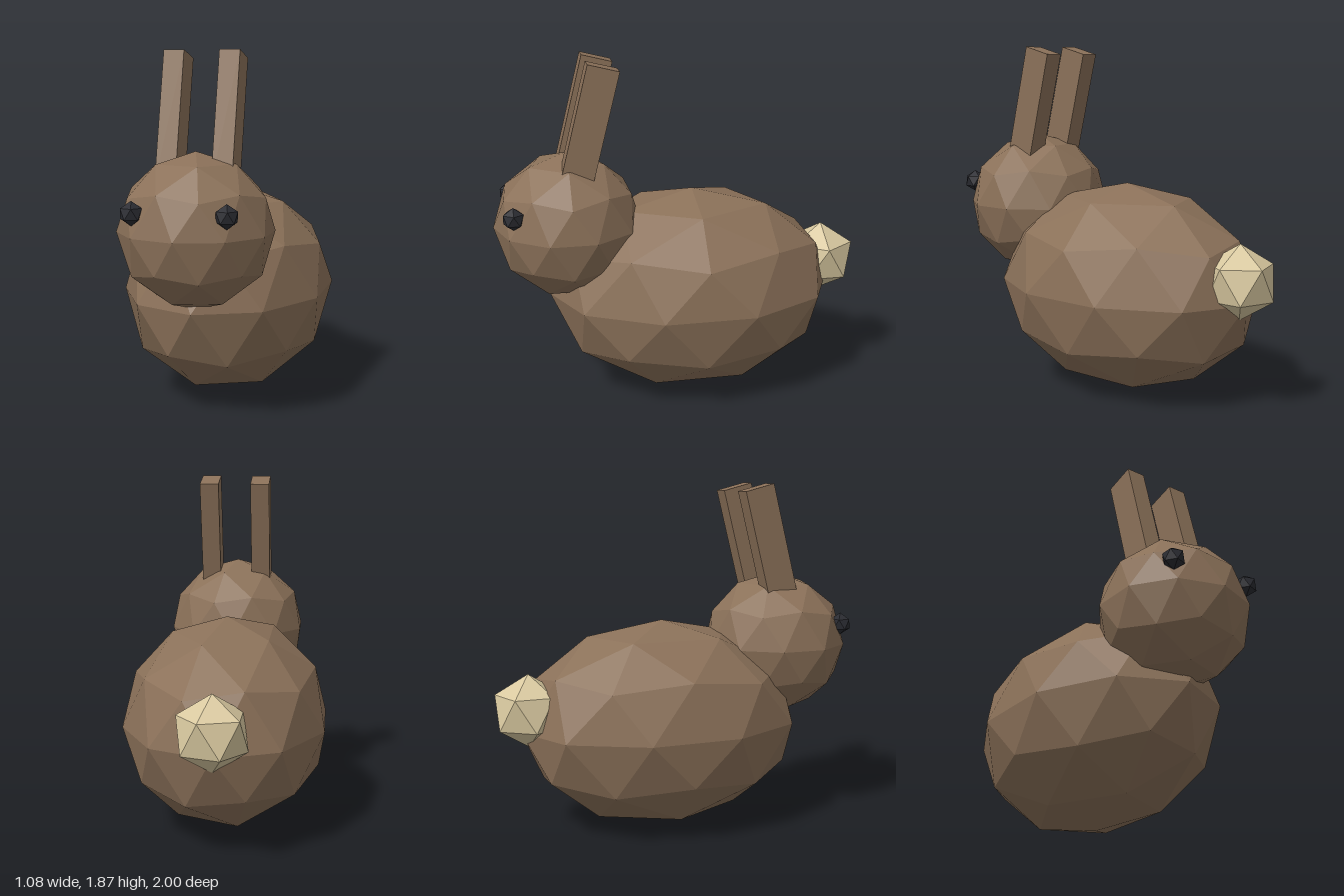
import * as THREE from 'three';

const fur = new THREE.MeshStandardMaterial({ color: 0x8b7159 });
fur.name = 'brown fur';
const cream = new THREE.MeshStandardMaterial({ color: 0xd9c9a0 });
cream.name = 'cream tail';
const dark = new THREE.MeshStandardMaterial({ color: 0x2a2b31 });
dark.name = 'dark eye';

// Faceted ball with its poles on the y axis and two staggered rings of five
function facetedBall(detail, sx, sy = sx, sz = sx) {
  const points = [0, 1, 0];
  const faces = [];
  const h = Math.sqrt(0.2);
  const r = 2 * h;
  for (const [offset, y] of [[0, h], [Math.PI / 5, -h]]) {
    for (let k = 0; k < 5; k++) {
      const a = offset + (k * Math.PI * 2) / 5;
      points.push(r * Math.cos(a), y, -r * Math.sin(a));
    }
  }
  points.push(0, -1, 0);
  for (let k = 0; k < 5; k++) {
    const n = (k + 1) % 5;
    const u = 1 + k, u2 = 1 + n, l = 6 + k, l2 = 6 + n;
    faces.push(0, u, u2, u, l, u2, l, l2, u2, 11, l2, l);
  }
  const geometry = new THREE.PolyhedronGeometry(points, faces, 1, detail);
  geometry.scale(sx, sy, sz);
  geometry.computeVertexNormals(); // separate triangles, so facets stay flat
  return geometry;
}

export function createModel() {
  const model = new THREE.Group();
  model.name = 'rabbit';

  function add(name, geometry, material, x, y, z) {
    const mesh = new THREE.Mesh(geometry, material);
    mesh.name = name;
    mesh.position.set(x, y, z);
    model.add(mesh);
    return mesh;
  }

  // Body, head and tail
  add('body', facetedBall(1, 0.566, 0.566, 0.793), fur, 0, 0.566, -0.08);
  add('head', facetedBall(1, 0.397), fur, 0, 0.972, 0.605);
  add('tail', facetedBall(0, 0.198), cream, 0, 0.683, -0.83);

  // Ears lean back from inside the head; the origin is the top of each ear
  const earGeometry = new THREE.BoxGeometry(0.106, 0.68, 0.17).translate(0, -0.34, 0);
  const eyeGeometry = facetedBall(0, 0.061);
  for (const [side, s] of [['left', 1], ['right', -1]]) {
    add(side + 'Ear', earGeometry, fur, s * 0.144, 1.845, 0.413).rotation.x = -0.25;
    add(side + 'Eye', eyeGeometry, dark, s * 0.235, 1.09, 0.9);
  }
  return model;
}
